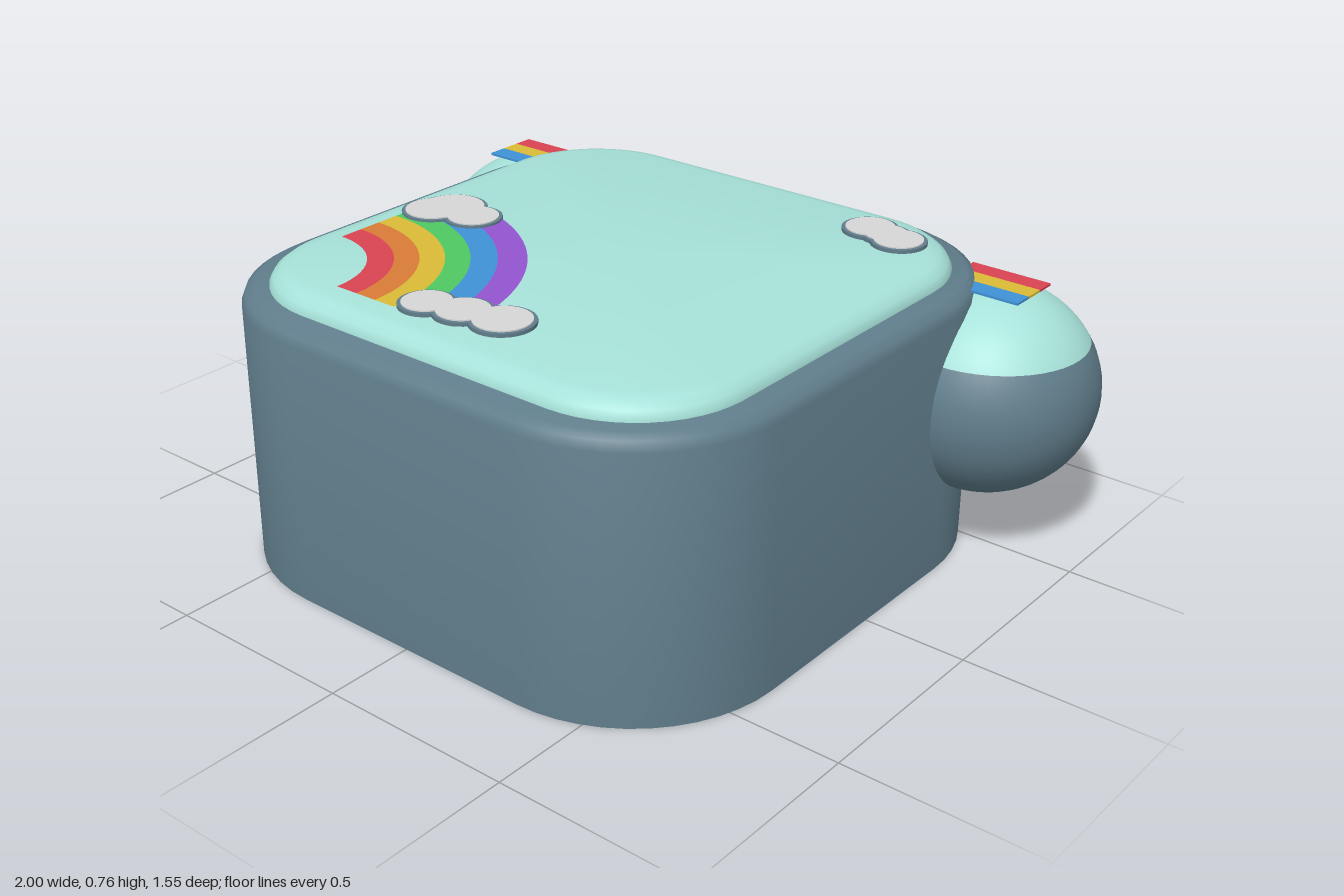
import * as THREE from 'three';
import { toCreasedNormals } from 'three/addons/utils/BufferGeometryUtils.js';

const paint = (name, color) => {
  const m = new THREE.MeshStandardMaterial({ color });
  m.name = name;
  return m;
};

// Rounded rectangular block lofted through [inset, y] levels, closed at both ends
function roundedBlock(halfW, halfD, radius, levels, steps = 12) {
  const pos = [], index = [];
  const n = 4 * (steps + 1);
  const ring = (inset, y, scale) => {
    for (let q = 0; q < 4; q++) {
      const sx = q === 0 || q === 3 ? 1 : -1, sz = q < 2 ? 1 : -1;
      for (let i = 0; i <= steps; i++) {
        const a = (q + i / steps) * Math.PI / 2;
        const r = radius - inset;
        pos.push(scale * (sx * (halfW - radius) + r * Math.cos(a)), y,
          scale * (sz * (halfD - radius) + r * Math.sin(a)));
      }
    }
  };
  const [first, last] = [levels[0], levels[levels.length - 1]];
  ring(first[0], first[1], 0);
  levels.forEach(([inset, y]) => ring(inset, y, 1));
  ring(last[0], last[1], 0);
  for (let k = 0; k <= levels.length; k++) {
    for (let i = 0; i < n; i++) {
      const a = k * n + i, b = k * n + (i + 1) % n;
      if (k > 0) index.push(a, b + n, b);
      if (k < levels.length) index.push(a, a + n, b + n);
    }
  }
  const g = new THREE.BufferGeometry();
  g.setAttribute('position', new THREE.Float32BufferAttribute(pos, 3));
  g.setIndex(index);
  return toCreasedNormals(g, 0.75);
}

export function createModel() {
  const model = new THREE.Group();
  const slate = paint('slate', 0x607d8b);
  const mint = paint('mint', 0xa6e1d8);
  const cloudGrey = paint('cloudGrey', 0xd6d6d6);
  const red = paint('red', 0xd94452);
  const orange = paint('orange', 0xd97b36);
  const yellow = paint('yellow', 0xdabb36);
  const green = paint('green', 0x50c862);
  const blue = paint('blue', 0x3f92d6);
  const purple = paint('purple', 0x9354d0);

  const add = (parent, name, geometry, material, x = 0, y = 0, z = 0) => {
    const mesh = new THREE.Mesh(geometry, material);
    mesh.name = name;
    mesh.position.set(x, y, z);
    parent.add(mesh);
    return mesh;
  };

  // Body and raised lid panel
  add(model, 'body', roundedBlock(0.738, 0.738, 0.4,
    [[0, 0], [0, 0.665], [0.009, 0.688], [0.03, 0.7]]), slate, 0, 0, 0.035);
  add(model, 'lidPanel', roundedBlock(0.66, 0.66, 0.29,
    [[0, 0.69], [0, 0.705], [0.01, 0.722], [0.03, 0.737], [0.06, 0.744]]), mint, 0, 0, 0.033);

  // Ears: two-tone spheres with a striped tag on top
  for (const side of [-1, 1]) {
    const ear = new THREE.Group();
    ear.name = side > 0 ? 'leftEar' : 'rightEar';
    ear.position.set(side * 0.726, 0, -0.505);
    model.add(ear);
    const split = Math.PI / 3;
    const sphere = (start, length, rows) =>
      new THREE.SphereGeometry(0.274, 48, rows, 0, Math.PI * 2, start, length);
    add(ear, 'earBase', sphere(split, Math.PI - split, 24), slate, 0, 0.424).scale.y = 0.955;
    add(ear, 'earCap', sphere(0, split, 12), mint, 0, 0.424).scale.y = 0.955;
    [red, yellow, blue].forEach((m, i) =>
      add(ear, 'earStripe', new THREE.BoxGeometry(0.21, 0.006, 0.052), m,
        0, 0.686, (i - 1) * 0.052));
  }

  // Rainbow: quarter arcs from the inside out
  const rainbow = new THREE.Group();
  rainbow.name = 'rainbow';
  rainbow.position.set(-0.568, 0.748, 0.6);
  model.add(rainbow);
  const radii = [0.22, 0.283, 0.343, 0.403, 0.463, 0.527, 0.597];
  [red, orange, yellow, green, blue, purple].forEach((m, i) => {
    const start = i > 2 ? 0.09 : 0;
    const arc = new THREE.RingGeometry(radii[i], radii[i + 1], 32, 1, start, Math.PI / 2 - start);
    add(rainbow, 'rainbowBand', arc.rotateX(-Math.PI / 2), m);
  });

  // Clouds: overlapping discs [x, z, radius] with a slate border
  const clouds = [
    [[-0.495, 0.07, 0.088], [-0.41, 0.085, 0.073], [-0.52, 0.112, 0.08]],
    [[0.078, 0.505, 0.078], [-0.025, 0.522, 0.072], [-0.12, 0.54, 0.068]],
    [[0.388, -0.48, 0.07], [0.44, -0.468, 0.062], [0.487, -0.452, 0.07]],
  ];
  for (const lobes of clouds) {
    const cloud = new THREE.Group();
    cloud.name = 'cloud';
    model.add(cloud);
    for (const [x, z, r] of lobes) {
      add(cloud, 'cloudBorder', new THREE.CylinderGeometry(r, r, 0.01, 32), slate, x, 0.748, z);
      add(cloud, 'cloudFace', new THREE.CylinderGeometry(r - 0.009, r - 0.009, 0.004, 32), cloudGrey, x, 0.754, z);
    }
  }
  return model;
}
